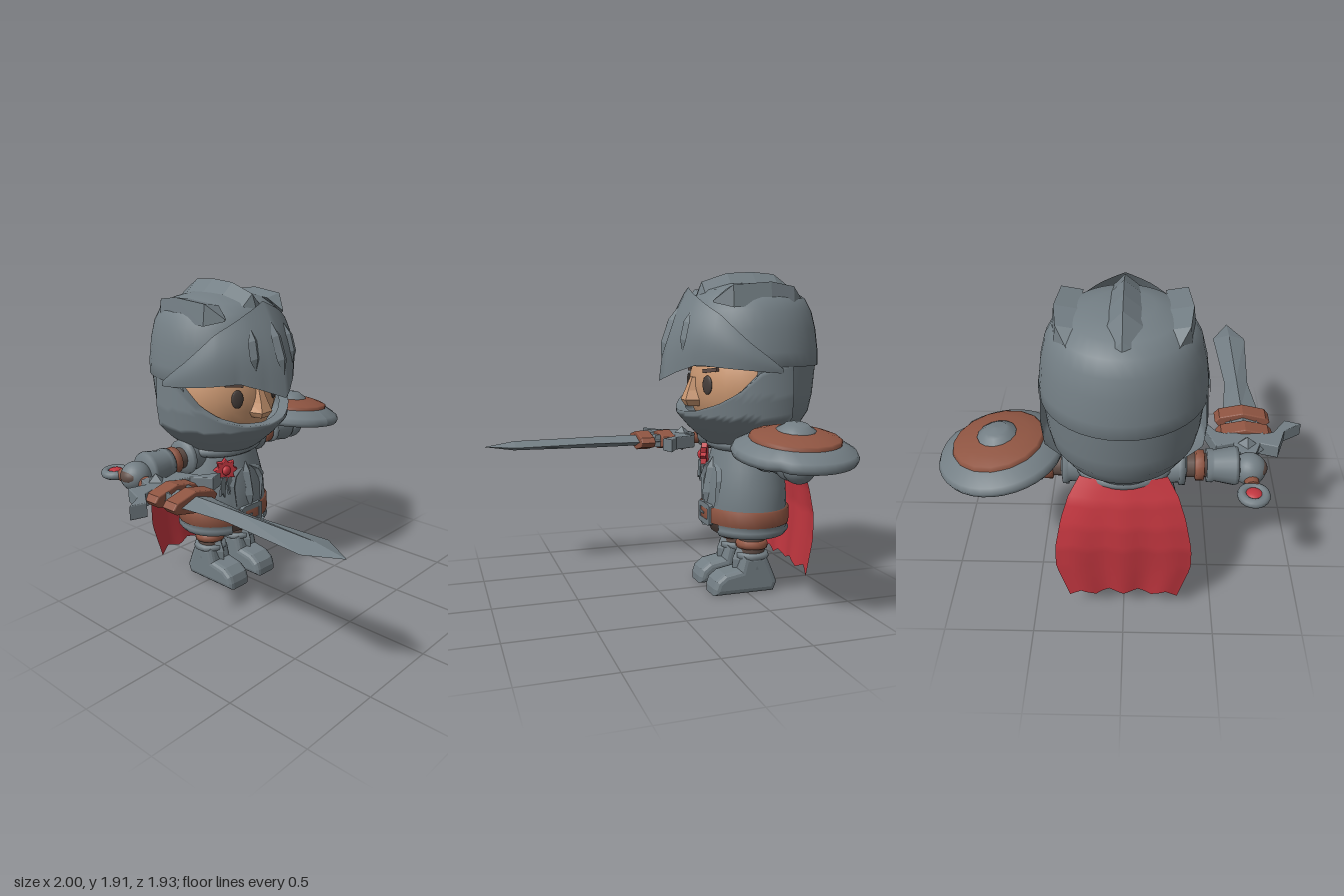
import * as THREE from 'three';
import { ParametricGeometry } from 'three/addons/geometries/ParametricGeometry.js';

const mat = (name, color) => new THREE.MeshStandardMaterial({ name, color, side: THREE.DoubleSide });
const V = (x, y, z) => new THREE.Vector3(x, y, z);
const CZ = -0.55; // depth of the body axis
const RAD = Math.PI / 180;

// Linear lookup in a table of [key, value] pairs with rising keys
function look(table, k) {
  for (let i = 1; i < table.length; i++) {
    const [a, va] = table[i - 1], [b, vb] = table[i];
    if (k <= b) return va + (vb - va) * Math.max(0, (k - a) / (b - a));
  }
  return table[table.length - 1][1];
}

// Faceted skin over a list of closed cross-sections
function loft(rings) {
  const p = [], add = (...vs) => vs.forEach(v => p.push(v.x, v.y, v.z));
  for (let i = 1; i < rings.length; i++) {
    const a = rings[i - 1], b = rings[i], n = a.length;
    for (let j = 0; j < n; j++) {
      const k = (j + 1) % n;
      add(a[j], a[k], b[k]);
      add(a[j], b[k], b[j]);
    }
  }
  const g = new THREE.BufferGeometry();
  g.setAttribute('position', new THREE.Float32BufferAttribute(p, 3));
  g.computeVertexNormals();
  return g;
}

// Triangular ridge along a path; scale holds the size at each point
function ridge(path, scale, side, up) {
  return loft(path.map((c, i) => [
    c.clone().addScaledVector(side, scale[i]),
    c.clone().addScaledVector(up, scale[i]),
    c.clone().addScaledVector(side, -scale[i])]));
}

const lathe = (pts, seg = 32, start = 0, len = Math.PI * 2) =>
  new THREE.LatheGeometry(pts.map(([r, y]) => new THREE.Vector2(r, y)), seg, start, len);
const outline = pts => new THREE.Shape(pts.map(([x, y]) => new THREE.Vector2(x, y)));
const extrude = (pts, depth, bevel = 0) => new THREE.ExtrudeGeometry(outline(pts), {
  depth, bevelEnabled: bevel > 0, bevelSize: bevel, bevelThickness: bevel, bevelSegments: 3 }).translate(0, 0, -depth / 2);

export function createModel() {
  const steel = mat('steel', 0x737e84), leather = mat('leather', 0x8f5542), dark = mat('dark leather', 0x5f4d46);
  const skin = mat('skin', 0xcb9872), eyeCol = mat('eye', 0x463e3b), red = mat('red cloth', 0xc1363f);
  const root = new THREE.Group();
  const add = (name, geo, m, pos = [0, 0, 0], parent = root) => {
    const mesh = new THREE.Mesh(geo, m);
    mesh.name = name;
    mesh.position.set(...pos);
    parent.add(mesh);
    return mesh;
  };
  const sphere = (x, y, z) => new THREE.SphereGeometry(1, 24, 16).scale(x, y, z);

  // Helmet: dome, back shell and chin guard
  add('helmetDome', lathe([[0.4, 1.37], [0.423, 1.37], [0.422, 1.45], [0.405, 1.58], [0.38, 1.68], [0.34, 1.755],
    [0.27, 1.805], [0.15, 1.84], [0, 1.85]], 40), steel, [0, 0, CZ]);
  add('helmetBack', lathe([[0.21, 0.88], [0.25, 0.95], [0.32, 1.01], [0.375, 1.1], [0.395, 1.2], [0.41, 1.38]],
    32, 75 * RAD, 210 * RAD), steel, [0, 0, CZ]);
  const guardR = [[0.88, 0.2], [0.92, 0.26], [1, 0.35], [1.08, 0.42], [1.2, 0.432], [1.4, 0.42]];
  const guardTop = [[0, 1.1], [25, 1.115], [45, 1.16], [62, 1.23], [80, 1.35], [105, 1.4]];
  add('chinGuard', new ParametricGeometry((u, v, t) => {
    const a = (u * 2 - 1) * 105, top = look(guardTop, Math.abs(a));
    const y = v < 0.1 ? top : top + (0.88 - top) * (v - 0.1) / 0.9;
    const r = look(guardR, y) - (v < 0.1 ? 0.06 * (1 - v / 0.1) : 0);
    t.set(Math.sin(a * RAD) * r, y, CZ + Math.cos(a * RAD) * r);
  }, 40, 20), steel);

  // Visor with a pointed brow
  const visorTop = [[0, 1.82], [20, 1.76], [46, 1.66], [70, 1.5], [95, 1.36]];
  const visorLow = [[0, 1.28], [14, 1.335], [30, 1.38], [45, 1.37], [95, 1.335]];
  const topR = [[0, 0.37], [46, 0.415], [70, 0.43], [95, 0.43]];
  const lowR = [[0, 0.55], [14, 0.5], [30, 0.465], [60, 0.45], [95, 0.43]];
  const visorPoint = (deg, v, t = V(), push = 0) => {
    const d = Math.abs(deg);
    const bulge = 0.04 * Math.sin(Math.PI * v) * Math.max(0, 1 - d / 95);
    const r = look(topR, d) * (1 - v) + look(lowR, d) * v + bulge + push;
    const y = look(visorTop, d) * (1 - v) + look(visorLow, d) * v;
    return t.set(Math.sin(deg * RAD) * r, y, CZ + Math.cos(deg * RAD) * r);
  };
  add('visor', new ParametricGeometry((u, v, t) => visorPoint((u * 2 - 1) * 95, v, t), 40, 12), steel);
  for (const deg of [-19, 0, 19]) {
    const path = [0.2, 0.36, 0.6, 0.76].map(v => visorPoint(deg, v, V(), 0.002));
    add('visorSlit', ridge(path, [0, 1, 1, 0], V(0.04, 0, 0), V(0, 0.01, 0.02)), steel);
  }

  // Helmet crests
  add('centreCrest', ridge([V(0, 1.68, -0.2), V(0, 1.78, -0.26), V(0, 1.82, -0.42), V(0, 1.83, -0.58), V(0, 1.82, -0.72),
    V(0, 1.75, -0.84), V(0, 1.6, -0.93)], [0.1, 0.85, 1, 1, 1, 0.85, 0], V(0.09, -0.01, 0), V(0, 0.085, 0)), steel);
  for (const s of [-1, 1])
    add('sideCrest', ridge([V(0.24 * s, 1.73, -0.24), V(0.265 * s, 1.75, -0.33), V(0.28 * s, 1.765, -0.55),
      V(0.265 * s, 1.75, -0.7), V(0.24 * s, 1.73, -0.8)], [0.1, 0.95, 1, 0.9, 0], V(0.065 * s, -0.055, 0), V(0.05 * s, 0.075, 0)), steel);

  // Face
  add('face', sphere(0.37, 0.37, 0.34), skin, [0, 1.25, CZ]);
  add('nose', loft([[0.03, 1.3, -0.2], [0.05, 1.22, -0.17], [0.075, 1.165, -0.15], [0.05, 1.13, -0.17], [0, 1.13, -0.22]]
    .map(([w, y, z]) => [V(-w, y, -0.25), V(-w * 0.6, y, z), V(w * 0.6, y, z), V(w, y, -0.25)])), skin);
  for (const s of [-1, 1]) {
    add('eye', sphere(0.038, 0.055, 0.012), eyeCol, [0.158 * s, 1.26, -0.241]).rotation.y = 0.4 * s;
    const brow = add('eyebrow', new THREE.BoxGeometry(0.11, 0.022, 0.02), dark, [0.17 * s, 1.345, -0.255]);
    brow.rotation.set(0, 0.45 * s, 0.12 * s);
  }

  // Torso, belt and skirt
  const body = new THREE.Group();
  body.name = 'body';
  body.position.z = CZ;
  body.scale.x = 1.18;
  root.add(body);
  add('breastplate', lathe([[0, 0.94], [0.18, 0.93], [0.2, 0.85], [0.222, 0.75], [0.243, 0.65], [0.25, 0.54], [0.25, 0.42]]), steel, [0, 0, 0], body);
  add('collar', new THREE.TorusGeometry(0.2, 0.035, 10, 32).rotateX(Math.PI / 2), steel, [0, 0.9, 0], body);
  add('belt', lathe([[0.24, 0.42], [0.264, 0.425], [0.264, 0.515], [0.24, 0.52]]), leather, [0, 0, 0], body);
  add('skirt', lathe([[0.2, 0.36], [0.245, 0.355], [0.265, 0.385], [0.25, 0.39], [0.26, 0.425]], 28, 28 * RAD, 304 * RAD), steel, [0, 0, 0], body);
  add('breeches', lathe([[0, 0.31], [0.12, 0.32], [0.2, 0.35], [0.235, 0.43]]), dark, [0, 0, 0], body);

  // Buckle
  const frame = outline([[-0.09, -0.055], [-0.07, -0.065], [0.07, -0.065], [0.09, -0.055], [0.09, 0.055], [0.07, 0.065], [-0.07, 0.065], [-0.09, 0.055]]);
  frame.holes.push(new THREE.Path([[-0.06, -0.032], [-0.06, 0.032], [0.06, 0.032], [0.06, -0.032]].map(p => new THREE.Vector2(...p))));
  add('buckle', new THREE.ExtrudeGeometry(frame, { depth: 0.03, bevelEnabled: false }), steel, [0, 0.47, -0.315]);
  add('buckleTongue', new THREE.BoxGeometry(0.06, 0.012, 0.03), steel, [-0.03, 0.47, -0.295]);
  add('beltEnd', new THREE.BoxGeometry(0.12, 0.064, 0.02), leather, [0, 0.47, -0.3]);

  // Chest ridges
  add('chestRidge', ridge([V(0, 0.53, -0.305), V(0, 0.6, -0.305), V(0, 0.75, -0.33), V(0, 0.82, -0.345)],
    [0.5, 1, 0.9, 0], V(0.035, 0, 0), V(0, 0, 0.03)), steel);
  for (const s of [-1, 1])
    add('sideRidge', ridge([V(0.11 * s, 0.53, -0.325), V(0.13 * s, 0.68, -0.335), V(0.1 * s, 0.74, -0.345), V(0.03 * s, 0.78, -0.34)],
      [0.6, 1, 1, 0.2], V(0.03, 0.015 * s, 0), V(0, 0, 0.022)), steel);

  // Rosette and its ribbon
  const star = Array.from({ length: 16 }, (_, i) => {
    const r = i % 2 ? 0.046 : 0.068, a = i * Math.PI / 8;
    return [r * Math.cos(a), r * Math.sin(a)];
  });
  add('rosette', extrude(star, 0.03, 0.004), red, [-0.165, 0.8, -0.35]).rotation.y = -0.5;
  add('rosetteCentre', sphere(0.03, 0.03, 0.02), red, [-0.175, 0.8, -0.33]);
  for (const s of [-1, 1])
    add('ribbon', extrude([[-0.02, 0], [-0.02, -0.12], [0, -0.1], [0.02, -0.13], [0.02, 0]], 0.012), steel,
      [-0.175 + 0.022 * s, 0.76, -0.335]).rotation.z = 0.12 * s;

  // Legs and boots
  const bootSide = [[0.31, 0.04], [0.31, 0.035], [-0.02, 0.035], [-0.03, 0.06], [-0.01, 0.11], [0.03, 0.2], [0.13, 0.2], [0.15, 0.12], [0.26, 0.1], [0.3, 0.07]];
  for (const s of [-1, 1]) {
    const leg = new THREE.Group();
    leg.name = s < 0 ? 'rightLeg' : 'leftLeg';
    leg.position.set(0.125 * s, 0, CZ);
    root.add(leg);
    add('thigh', new THREE.CylinderGeometry(0.085, 0.075, 0.22, 16), dark, [0, 0.29, 0], leg);
    add('kneeStrap', lathe([[0.07, 0.265], [0.095, 0.272], [0.098, 0.295], [0.09, 0.315], [0.07, 0.32]], 16), leather, [0, 0, 0], leg);
    add('foot', extrude(bootSide, 0.11, 0.033).rotateY(-Math.PI / 2), steel, [0, 0, -0.075], leg);
    add('greave', lathe([[0.075, 0.12], [0.09, 0.15], [0.085, 0.2], [0.105, 0.215], [0.1, 0.24], [0.07, 0.245]], 16), steel, [0, 0, 0], leg);
    add('shinPlate', ridge([V(0, 0.12, 0.08), V(0, 0.2, 0.075), V(0, 0.275, 0.07)], [0.8, 1, 0.5], V(0.045, 0, 0), V(0, 0, 0.05)), steel, [0, 0, 0], leg);
  }

  // Arms
  for (const s of [-1, 1]) {
    const arm = new THREE.Group();
    arm.name = s < 0 ? 'rightArm' : 'leftArm';
    arm.position.set(0, 0.87, CZ - 0.015);
    root.add(arm);
    const along = (name, pts, m) => add(name, lathe(pts, 20).rotateZ(-s * Math.PI / 2), m, [0, 0, 0], arm);
    along('shoulderPlate', [[0.06, 0.16], [0.1, 0.2], [0.095, 0.29], [0.11, 0.295], [0.108, 0.325], [0.06, 0.335]], steel);
    along('upperArm', [[0.068, 0.2], [0.065, 0.46]], dark);
    along('armStrap', [[0.06, 0.375], [0.083, 0.383], [0.083, 0.425], [0.06, 0.432]], leather);
    along('gauntlet', [[0.05, 0.44], [0.09, 0.44], [0.093, 0.47], [0.085, 0.48], [0.106, 0.59], [0.1, 0.61], [0.05, 0.62]], steel);
    add('hand', sphere(0.09, 0.088, 0.09), steel, [0.675 * s, -0.02, 0], arm);
    add('palm', sphere(0.06, 0.05, 0.07), dark, [0.71 * s, s < 0 ? -0.01 : 0.04, 0], arm);
  }

  // Domed shield with a notched rim, lying on the left arm
  const shield = new THREE.Group();
  shield.name = 'shield';
  shield.position.set(0.66, 0.955, -0.545);
  shield.rotation.z = -0.13;
  root.add(shield);
  const rim = lathe([[0, 0.0], [0.2, -0.01], [0.3, -0.045], [0.33, -0.045], [0.34, -0.02], [0.325, 0.008], [0.25, 0.05], [0.235, 0.045]], 36);
  const rp = rim.attributes.position;
  for (let i = 0; i < rp.count; i++) {
    const x = rp.getX(i), z = rp.getZ(i);
    if (Math.hypot(x, z) > 0.28 && Math.abs(Math.atan2(z, x) - 0.75) < 0.1) rp.setXYZ(i, x * 0.91, rp.getY(i), z * 0.91);
  }
  rim.computeVertexNormals();
  add('shieldRim', rim, steel, [0, 0, 0], shield);
  add('shieldField', lathe([[0.25, 0.035], [0.247, 0.062], [0.235, 0.07], [0.17, 0.09], [0.09, 0.1]], 16), leather, [0, 0, 0], shield);
  add('shieldBoss', lathe([[0.105, 0.09], [0.105, 0.105], [0.075, 0.122], [0.06, 0.135], [0, 0.142]], 14), steel, [0, 0, 0], shield);

  // Sword pointing forward from the right hand
  const sword = new THREE.Group();
  sword.name = 'sword';
  sword.position.set(-0.68, 0.83, 0);
  root.add(sword);
  add('blade', loft([[-0.32, 0.09, 0.035], [-0.04, 0.105, 0.036], [0.25, 0.072, 0.036], [0.77, 0.106, 0.03], [0.96, 0, 0]]
    .map(([z, w, h]) => [V(w, 0, z), V(0, h, z), V(-w, 0, z), V(0, -h, z)])), steel, [0, 0, 0], sword);
  for (const z of [-0.245, -0.095])
    add('bladeWrap', extrude([[-0.15, 0], [-0.13, 0.025], [0, 0.055], [0.13, 0.025], [0.15, 0], [0.13, -0.025], [0, -0.055], [-0.13, -0.025]],
      0.08, 0.008), leather, [0, 0, z], sword);
  const half = [[0.04, -0.45], [0.07, -0.37], [0.17, -0.4], [0.22, -0.26], [0.32, -0.2], [0.24, -0.175], [0.165, -0.28], [0.1, -0.3], [0.075, -0.17], [0.03, -0.3]];
  add('crossGuard', extrude([...half, ...half.map(([x, z]) => [-x, z]).reverse()], 0.07, 0.006).rotateX(Math.PI / 2), steel, [0, 0, 0], sword);
  add('guardHub', new THREE.OctahedronGeometry(1).scale(0.1, 0.085, 0.1), steel, [0, 0, -0.38], sword);
  add('grip', new THREE.CylinderGeometry(0.04, 0.04, 0.34, 12).rotateX(Math.PI / 2), leather, [0, 0, -0.52], sword);
  add('pommel', new THREE.TorusGeometry(0.062, 0.026, 10, 20).rotateX(Math.PI / 2), steel, [0, 0, -0.75], sword);
  add('gem', sphere(0.05, 0.028, 0.05), red, [0, 0, -0.75], sword);

  // Cape with a ragged hem
  const capeW = [[0.1, 0.3], [0.35, 0.37], [0.5, 0.368], [0.7, 0.33], [0.82, 0.29], [0.92, 0.23]];
  const capeZ = [[0.1, -0.835], [0.5, -0.838], [0.65, -0.82], [0.78, -0.785], [0.92, -0.715]];
  const hem = [0.11, 0.16, 0.13, 0.17, 0.14, 0.17, 0.125, 0.16, 0.11].map((y, i) => [i / 8, y]);
  add('cape', new ParametricGeometry((u, v, t) => {
    const s = u * 2 - 1, y = 0.92 + (look(hem, u) - 0.92) * v;
    const z = look(capeZ, y) - 0.045 * (1 - s * s) * (1 - v) - 0.008 * Math.cos(s * 9) * v;
    t.set(s * look(capeW, y), y, z);
  }, 32, 16), red);
  return root;
}
